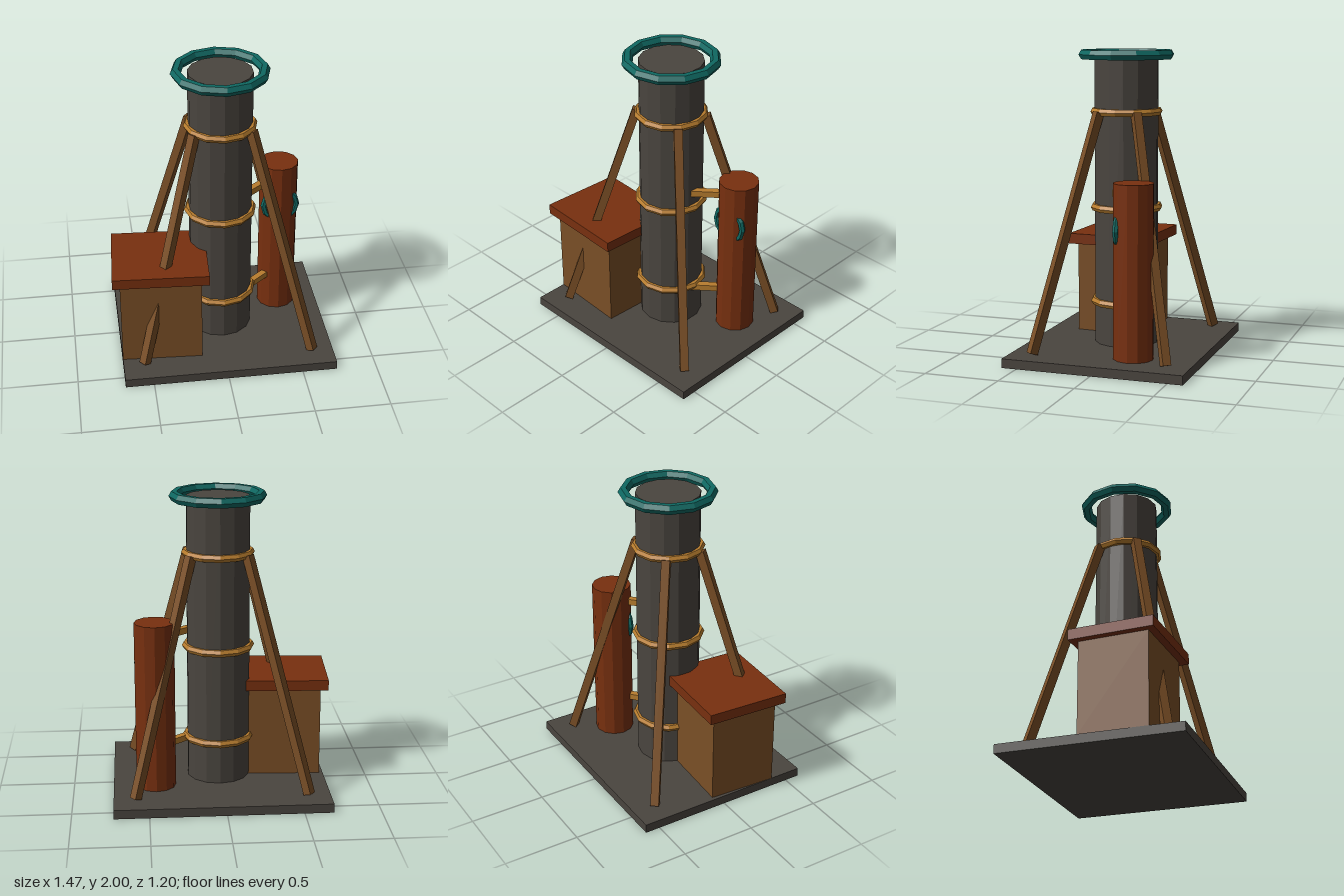
import * as THREE from 'three';

export function createModel() {
  const model = new THREE.Group();
  model.name = 'tower';

  const paint = (name, color) => {
    const m = new THREE.MeshStandardMaterial({ color, flatShading: true });
    m.name = name;
    return m;
  };
  const stone = paint('dark stone', 0x4a453f);
  const wood = paint('brown wood', 0x7a4f26);
  const rust = paint('rust red', 0x78300f);
  const brass = paint('brass', 0xb87d2e);
  const teal = paint('teal', 0x0f6862);

  const add = (name, geometry, material, x, y, z) => {
    const mesh = new THREE.Mesh(geometry, material);
    mesh.name = name;
    mesh.position.set(x, y, z);
    model.add(mesh);
    return mesh;
  };

  // Square-section bar running between two points
  const bar = (name, material, from, to, width, height) => {
    const a = new THREE.Vector3(...from);
    const b = new THREE.Vector3(...to);
    const mid = a.clone().add(b).multiplyScalar(0.5);
    const geometry = new THREE.BoxGeometry(width, height, a.distanceTo(b));
    add(name, geometry, material, mid.x, mid.y, mid.z).lookAt(b);
  };

  // Horizontal faceted ring around the column
  const cx = 0.02;
  const ring = (name, material, y, radius, tube) => {
    const geometry = new THREE.TorusGeometry(radius, tube, 6, 12);
    add(name, geometry, material, cx, y, 0).rotation.x = Math.PI / 2;
  };

  // Base slab and column
  add('base', new THREE.BoxGeometry(1.42, 0.06, 1.2), stone, cx, 0.03, 0);
  add('column', new THREE.CylinderGeometry(0.21, 0.21, 1.91, 14), stone, cx, 1.015, 0);

  // Bands and crown ring
  for (const y of [0.34, 0.97, 1.6]) ring('band', brass, y, 0.215, 0.026);
  ring('crownRing', teal, 1.97, 0.283, 0.035);

  // Four splayed legs
  for (const sx of [-1, 1]) {
    for (const sz of [-1, 1]) {
      bar('leg', wood, [cx + sx * 0.567, 0.07, sz * 0.448], [cx + sx * 0.185, 1.6, sz * 0.128], 0.055, 0.055);
    }
  }

  // Hut with overhanging lid, turned slightly
  const turn = -0.056;
  add('hut', new THREE.BoxGeometry(0.535, 0.61, 0.46), wood, -0.41, 0.365, 0.166).rotation.y = turn;
  add('hutLid', new THREE.BoxGeometry(0.63, 0.07, 0.558), rust, -0.41, 0.705, 0.166).rotation.y = turn;

  // Side tank, its valve wheel and the pipes to the column
  add('tank', new THREE.CylinderGeometry(0.131, 0.131, 1.125, 12), rust, 0.447, 0.6225, -0.191);
  add('valveWheel', new THREE.TorusGeometry(0.113, 0.02, 6, 12), teal, 0.447, 0.89, -0.11);
  for (const y of [0.327, 1.08]) {
    bar('pipe', brass, [0.21, y, 0.009], [0.447, y, -0.191], 0.045, 0.042);
  }

  return model;
}
